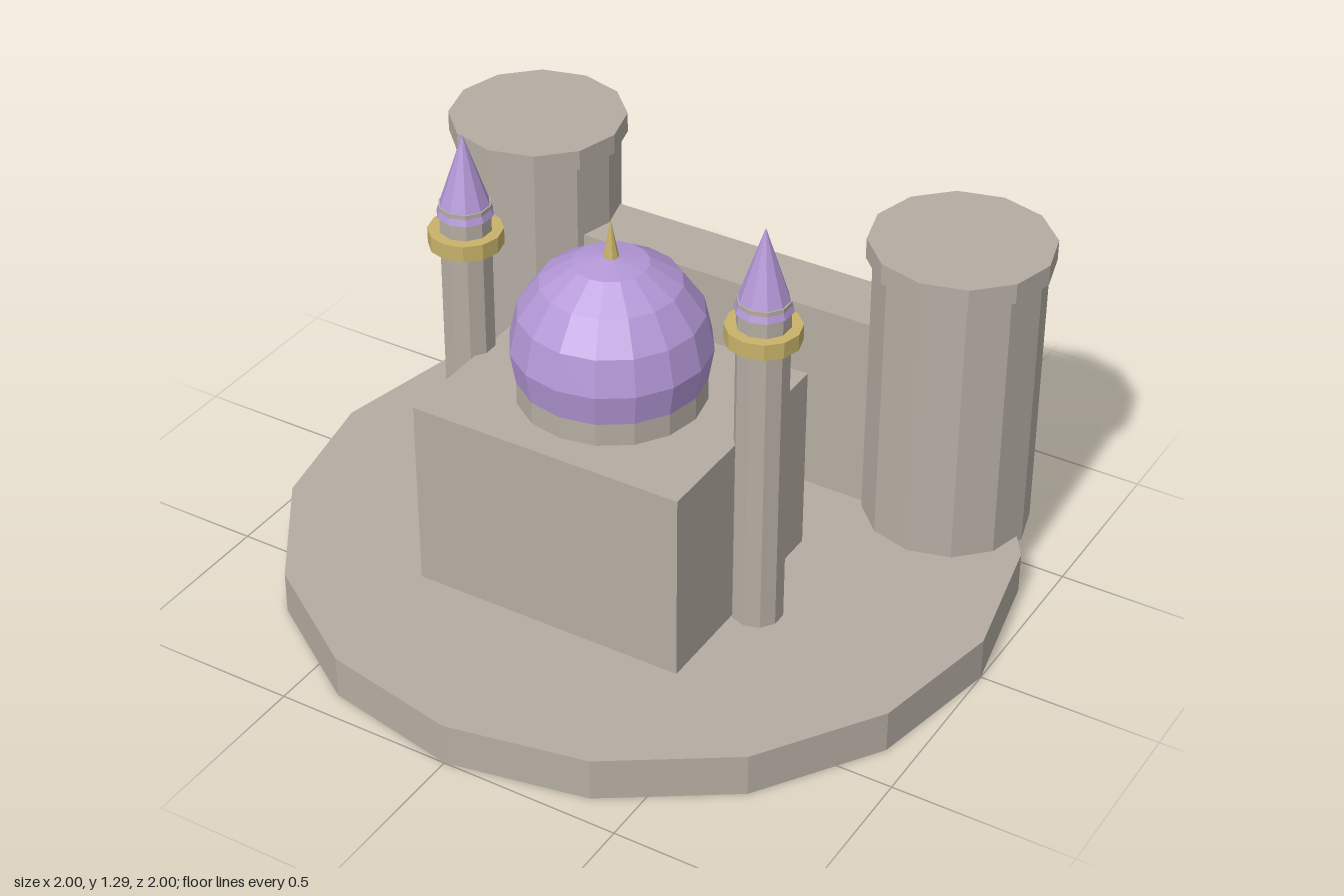
import * as THREE from 'three';

export function createModel() {
  const model = new THREE.Group();
  const material = (name, color) => {
    const m = new THREE.MeshStandardMaterial({ color, flatShading: true });
    m.name = name;
    return m;
  };
  const stone = material('warm grey stone', 0xb5ada3);
  const purple = material('purple roof', 0xb397d6);
  const gold = material('gold trim', 0xc8b26a);

  const add = (parent, name, geometry, mat, x, y, z) => {
    const mesh = new THREE.Mesh(geometry, mat);
    mesh.name = name;
    mesh.position.set(x, y, z);
    parent.add(mesh);
    return mesh;
  };
  // Upright prism or cone spanning y0..y1
  const column = (parent, name, mat, r0, r1, y0, y1, sides, x = 0, z = 0) =>
    add(parent, name, new THREE.CylinderGeometry(r1, r0, y1 - y0, sides), mat, x, (y0 + y1) / 2, z);
  // Box spanning y0..y1
  const block = (parent, name, w, d, y0, y1, z) =>
    add(parent, name, new THREE.BoxGeometry(w, y1 - y0, d), stone, 0, (y0 + y1) / 2, z);

  const hallZ = 0.195;

  // Round base
  column(model, 'base', stone, 1, 1, 0, 0.12, 16);

  // Rear wall and main hall
  block(model, 'rearWall', 1.3, 0.195, 0.1, 0.69, -0.4775);
  block(model, 'hall', 0.785, 0.66, 0.1, 0.66, hallZ);

  // Dome on its drum, with a finial
  column(model, 'domeDrum', stone, 0.25, 0.25, 0.65, 0.725, 16, 0, hallZ);
  add(model, 'dome',
    new THREE.SphereGeometry(0.265, 16, 5, 0, Math.PI * 2, 0, Math.PI * 0.615),
    purple, 0, 0.805, hallZ);
  column(model, 'finial', gold, 0.024, 0, 1.05, 1.172, 8, 0, hallZ);

  for (const side of [-1, 1]) {
    // Rear corner tower with an overhanging cap
    const tower = new THREE.Group();
    tower.name = side > 0 ? 'leftTower' : 'rightTower';
    tower.position.set(side * 0.653, 0, -0.473);
    column(tower, 'towerBody', stone, 0.23, 0.23, 0.1, 0.915, 12);
    column(tower, 'towerCap', stone, 0.248, 0.248, 0.915, 0.973, 12);
    model.add(tower);

    // Slim minaret with a balcony ring and pointed roof
    const minaret = new THREE.Group();
    minaret.name = side > 0 ? 'leftMinaret' : 'rightMinaret';
    minaret.position.set(side * 0.44, 0, hallZ);
    column(minaret, 'shaft', stone, 0.07, 0.07, 0.1, 1.087, 10);
    column(minaret, 'balcony', gold, 0.099, 0.099, 0.967, 1.012, 12);
    column(minaret, 'spire', purple, 0.076, 0, 1.057, 1.286, 10);
    model.add(minaret);
  }
  return model;
}
